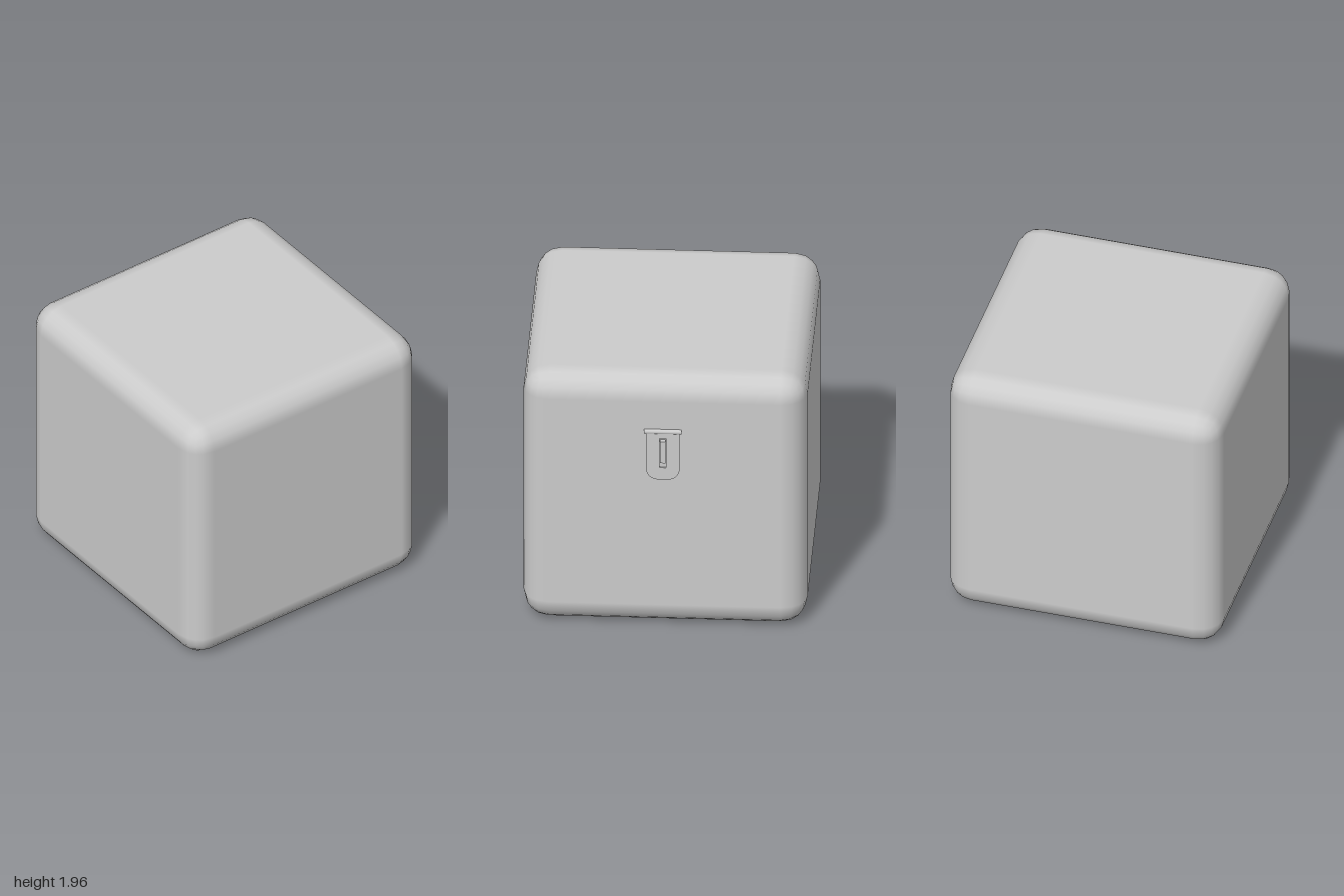
import * as THREE from 'three';
import { RoundedBoxGeometry } from 'three/addons/geometries/RoundedBoxGeometry.js';

export function createModel() {
  const group = new THREE.Group();
  const material = new THREE.MeshStandardMaterial({ color: 0xcccccc });
  const add = (name, geometry, x, y, z) => {
    const mesh = new THREE.Mesh(geometry, material);
    mesh.name = name;
    mesh.position.set(x, y, z);
    group.add(mesh);
    return mesh;
  };

  // Rounded cube
  const size = 1.963, face = -1 + size, latchZ = 0.01;
  add('body', new RoundedBoxGeometry(size, size, size, 2, 0.18), -1 + size / 2, size / 2, 0);

  // Hasp plate: straight top, rounded bottom corners, slot for the staple
  const w = 0.115, top = 1.55, bottom = 1.18, r = 0.08;
  const plate = new THREE.Shape();
  plate.moveTo(w, top);
  plate.lineTo(-w, top);
  plate.lineTo(-w, bottom + r);
  plate.absarc(-w + r, bottom + r, r, Math.PI, Math.PI * 1.5, false);
  plate.absarc(w - r, bottom + r, r, Math.PI * 1.5, Math.PI * 2, false);
  plate.closePath();
  const slot = new THREE.Path();
  slot.moveTo(-0.022, 1.273);
  slot.lineTo(-0.022, 1.505);
  slot.lineTo(0.022, 1.505);
  slot.lineTo(0.022, 1.273);
  slot.closePath();
  plate.holes.push(slot);
  const plateGeometry = new THREE.ExtrudeGeometry(plate, { depth: 0.016, bevelEnabled: false, curveSegments: 5 });
  plateGeometry.rotateY(Math.PI / 2);
  add('haspPlate', plateGeometry, face - 0.003, 0, latchZ);

  // Hinge pin along the top of the plate
  const pin = add('hingePin', new THREE.CylinderGeometry(0.018, 0.018, 0.26, 12), face, 1.552, latchZ);
  pin.rotation.x = Math.PI / 2;

  // Staple standing out through the slot
  add('staple', new THREE.BoxGeometry(0.06, 0.168, 0.038), 0.97, 1.406, latchZ);

  return group;
}
